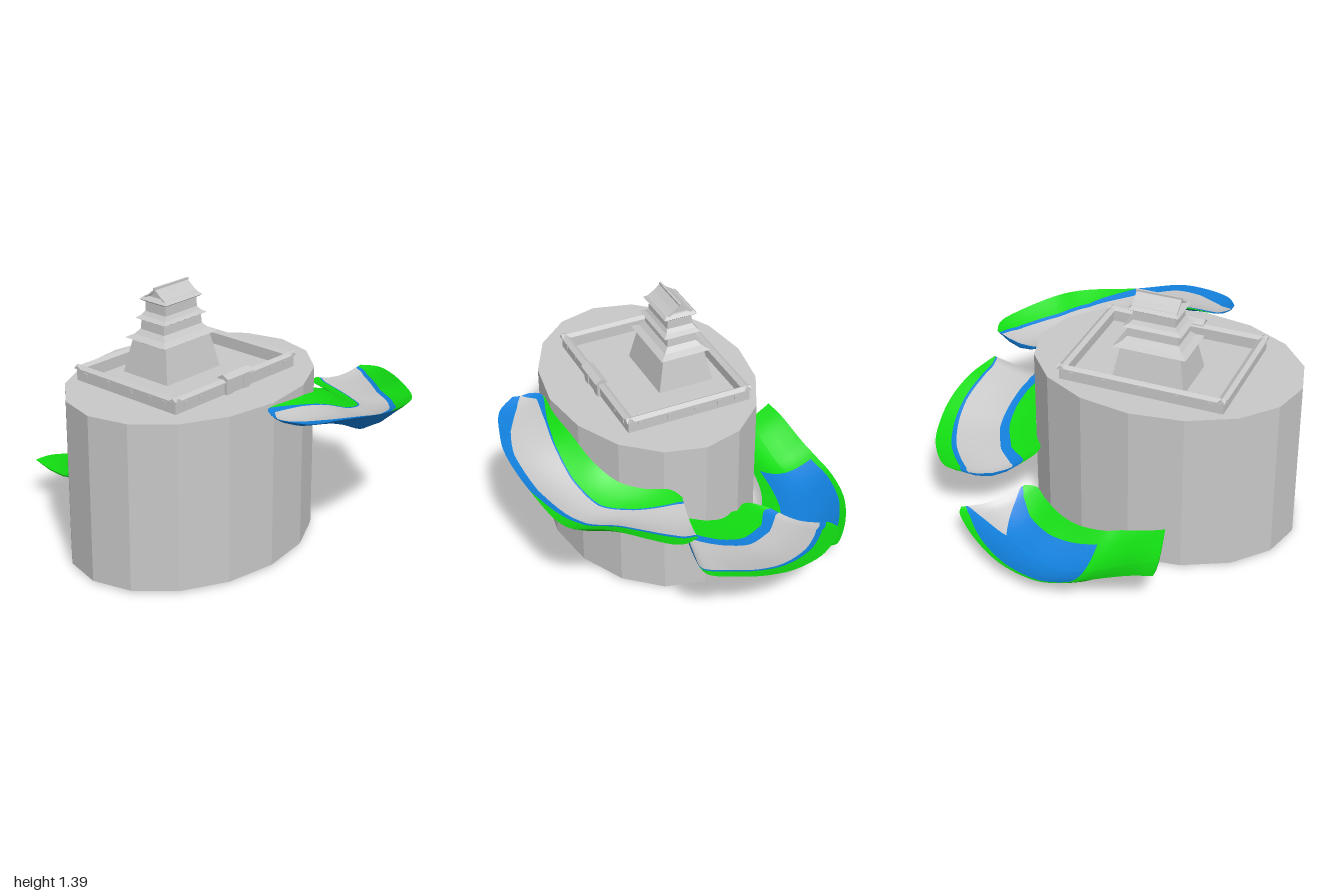
import * as THREE from 'three';

const mat = (name, color, extra = {}) => {
  const m = new THREE.MeshStandardMaterial({ color, ...extra });
  m.name = name;
  return m;
};
const stone = mat('stone grey', 0xc8c8c8);
const green = mat('grass green', 0x12dc12);
const blue = mat('water blue', 0x1280dc);

const add = (parent, name, geo, x = 0, y = 0, z = 0, ry = 0) => {
  const m = new THREE.Mesh(geo, stone);
  m.name = name;
  m.position.set(x, y, z);
  m.rotation.y = ry;
  parent.add(m);
  return m;
};

// Box that tapers from (w0, d0) at its foot to (w1, d1) at its top, foot at y = 0
function frustum(w0, d0, w1, d1, h) {
  const g = new THREE.BoxGeometry(1, h, 1).translate(0, h / 2, 0);
  const p = g.attributes.position;
  for (let i = 0; i < p.count; i++) {
    const top = p.getY(i) > h / 2;
    p.setX(i, p.getX(i) * (top ? w1 : w0));
    p.setZ(i, p.getZ(i) * (top ? d1 : d0));
  }
  g.computeVertexNormals();
  return g;
}

// Profile given as [z, y] points, extruded along x and centred
function alongX(points, length) {
  const s = new THREE.Shape(points.map(([a, b]) => new THREE.Vector2(a, b)));
  const g = new THREE.ExtrudeGeometry(s, { depth: length, bevelEnabled: false });
  return g.translate(0, 0, -length / 2).rotateY(Math.PI / 2);
}

// Hipped skirt roof with a thin eave and a concave slope
function skirtRoof(parent, name, y, w, d, w1, d1, h) {
  const g = new THREE.Group();
  g.name = name;
  g.position.y = y;
  const mw = w1 + (w - w1) * 0.4, md = d1 + (d - d1) * 0.4;
  add(g, 'eave', frustum(w - 0.03, d - 0.03, w, d, 0.008), 0, -0.008);
  add(g, 'lowerSlope', frustum(w, d, mw, md, h * 0.42));
  add(g, 'upperSlope', frustum(mw, md, w1, d1, h * 0.58), 0, h * 0.42);
  parent.add(g);
}

function buildTower() {
  const t = new THREE.Group();
  t.name = 'tower';
  add(t, 'stoneBase', frustum(0.4, 0.315, 0.33, 0.235, 0.19), 0, 0.92);
  skirtRoof(t, 'firstRoof', 1.115, 0.4, 0.285, 0.285, 0.17, 0.045);
  add(t, 'secondStorey', frustum(0.285, 0.17, 0.275, 0.16, 0.07), 0, 1.15);
  skirtRoof(t, 'secondRoof', 1.22, 0.32, 0.21, 0.235, 0.145, 0.035);
  add(t, 'thirdStorey', frustum(0.235, 0.145, 0.23, 0.14, 0.075), 0, 1.25);
  add(t, 'topEave', frustum(0.25, 0.16, 0.275, 0.19, 0.01), 0, 1.31);
  add(t, 'topSkirt', frustum(0.275, 0.19, 0.235, 0.155, 0.016), 0, 1.32);
  // Gable roof: two slabs over a recessed gable wall
  add(t, 'gableWall', alongX([[-0.07, 1.325], [0.07, 1.325], [0, 1.38]], 0.21));
  add(t, 'gableRoof', alongX([[-0.088, 1.325], [-0.074, 1.322], [0, 1.373],
    [0.074, 1.322], [0.088, 1.325], [0.04, 1.355], [0, 1.388], [-0.04, 1.355]], 0.245));
  add(t, 'ridge', new THREE.BoxGeometry(0.252, 0.012, 0.012), 0, 1.388);
  return t;
}

// One wall run with a small pitched cap and square windows on its outer face (+z)
function wallRun(name, length, windows) {
  const g = new THREE.Group();
  g.name = name;
  add(g, 'wallBody', new THREE.BoxGeometry(length, 0.07, 0.026), 0, 0.952, 0);
  add(g, 'wallCap', alongX([[-0.023, 0.985], [0.023, 0.985], [0.023, 0.99], [0, 1.005], [-0.023, 0.99]], length + 0.018));
  for (const x of windows) {
    add(g, 'windowFrame', new THREE.BoxGeometry(0.024, 0.024, 0.006), x, 0.962, 0.014);
  }
  return g;
}

function buildWalls() {
  const w = new THREE.Group();
  w.name = 'courtyardWalls';
  const front = [-0.38, -0.27, 0.27, 0.38], side = [-0.28, -0.12, 0.04, 0.17, 0.27];
  const runs = [['frontWall', 0.9, front, 0, 0.337, 0],
    ['backWall', 0.9, [-0.38, -0.2, 0, 0.2, 0.38], 0, -0.337, Math.PI],
    ['leftWall', 0.7, side, 0.437, 0, Math.PI / 2],
    ['rightWall', 0.7, side, -0.437, 0, -Math.PI / 2]];
  for (const [name, len, wins, x, z, ry] of runs) {
    const r = wallRun(name, len, wins);
    r.position.set(x, 0, z);
    r.rotation.y = ry;
    w.add(r);
  }
  // Gatehouse
  const gate = new THREE.Group();
  gate.name = 'gate';
  gate.position.set(-0.005, 0, 0.345);
  for (const s of [-1, 1]) add(gate, 'gatePost', new THREE.BoxGeometry(0.045, 0.085, 0.042), s * 0.065, 0.96);
  add(gate, 'gateDoor', new THREE.BoxGeometry(0.09, 0.075, 0.03), 0, 0.955);
  add(gate, 'gateLintel', new THREE.BoxGeometry(0.175, 0.014, 0.042), 0, 0.998);
  add(gate, 'gateRoof', alongX([[-0.035, 1.005], [0.035, 1.005], [0.035, 1.01], [0, 1.03], [-0.035, 1.01]], 0.195));
  w.add(gate);
  return w;
}

// Curved dished strip. Station: inner x z, outer x z, inner/outer rim y, floor y, hull y,
// then four fractions across it: grass | water | path | water | grass.
function buildIsland(name, stations, tailFrom = Infinity) {
  const STEPS = 6, SUB = 4, rows = [];
  const last = stations.length - 1;
  for (let i = 0; i <= last * STEPS; i++) {
    const k = Math.min(Math.floor(i / STEPS), last - 1), f = i / STEPS - k;
    const P = [k - 1, k, k + 1, k + 2].map((j) => stations[THREE.MathUtils.clamp(j, 0, last)]);
    const s = P[1].map((b, j) => {
      const a = P[0][j], c = P[2][j], d = P[3][j];
      if (j > 7) return b + (c - b) * f;
      return b + 0.5 * f * (c - a + f * (2 * a - 5 * b + 4 * c - d + f * (3 * (b - c) + d - a)));
    });
    rows.push({ s, u: i / STEPS });
  }
  const pos = [], faces = [[], [], []];
  const sheet = (list, cuts, depth, bandMats, up) => {
    const base = pos.length / 3, cols = (cuts(list[0].s).length - 1) * SUB + 1;
    for (const row of list) {
      const s = row.s, c = cuts(s), y = row.cap ? s[6] : s[depth];
      for (let j = 0; j < cols; j++) {
        const b = Math.min(Math.floor(j / SUB), c.length - 2);
        const t = c[b] + (c[b + 1] - c[b]) * (j / SUB - b);
        const sag = ((s[4] + s[5]) / 2 - y) * Math.sin(Math.PI * t);
        pos.push(s[0] + (s[2] - s[0]) * t, s[4] + (s[5] - s[4]) * t - sag, s[1] + (s[3] - s[1]) * t);
      }
    }
    for (let r = 0; r < list.length - 1; r++) {
      for (let j = 0; j < cols - 1; j++) {
        const m = list[r].u >= tailFrom ? 0 : bandMats[Math.floor(j / SUB)];
        const a = base + r * cols + j, b = a + 1, c = a + cols, d = c + 1;
        faces[m].push(...(up ? [a, b, c, b, d, c] : [a, c, b, b, c, d]));
      }
    }
  };
  sheet(rows, (s) => [0, s[8], s[9], s[10], s[11], 1], 6, [0, 1, 2, 1, 0], true);
  // The hull closes up to the floor at both ends
  const hull = [{ ...rows[0], cap: true }, ...rows, { ...rows[rows.length - 1], cap: true }];
  sheet(hull, (s) => [0, s[8] * 0.5, (1 + s[11]) / 2, 1], 7, [0, 1, 0], false);

  const g = new THREE.BufferGeometry();
  g.setAttribute('position', new THREE.Float32BufferAttribute(pos, 3));
  g.setIndex(faces.flat());
  let start = 0;
  faces.forEach((f, i) => { g.addGroup(start, f.length, i); start += f.length; });
  g.computeVertexNormals();
  const m = new THREE.Mesh(g, [green, blue, stone]);
  m.name = name;
  return m;
}

const upperIsland = [
  [-0.34, 0.71, -0.345, 0.80, 0.912, 0.908, 0.905, 0.9, 0, 0.45, 0.55, 1],
  [-0.29, 0.65, -0.26, 0.90, 0.917, 0.895, 0.885, 0.865, 0, 0.15, 0.6, 1],
  [-0.11, 0.645, -0.10, 0.95, 0.91, 0.885, 0.865, 0.83, 0.14, 0.18, 0.8, 1],
  [0.06, 0.615, 0.075, 0.97, 0.89, 0.86, 0.83, 0.77, 0.25, 0.27, 0.87, 1],
  [0.245, 0.565, 0.325, 0.925, 0.83, 0.80, 0.75, 0.665, 0.32, 0.34, 0.87, 1],
  [0.37, 0.48, 0.61, 0.84, 0.765, 0.765, 0.70, 0.645, 0.34, 0.36, 0.72, 0.78],
  [0.445, 0.365, 0.74, 0.65, 0.735, 0.78, 0.69, 0.645, 0.3, 0.32, 0.7, 0.75],
  [0.49, 0.24, 0.91, 0.38, 0.725, 0.735, 0.685, 0.65, 0.2, 0.22, 0.75, 0.8],
  [0.565, 0.2, 0.89, 0.25, 0.72, 0.72, 0.69, 0.66, 0.08, 0.12, 0.9, 0.95],
];
const middleIsland = [
  [0.565, 0.2, 0.915, 0.25, 0.555, 0.545, 0.54, 0.52, 0.05, 0.15, 0.95, 0.98],
  [0.505, 0.18, 0.955, 0.21, 0.525, 0.515, 0.50, 0.46, 0.2, 0.32, 0.88, 0.91],
  [0.5, 0.12, 0.99, 0.08, 0.50, 0.49, 0.46, 0.41, 0.25, 0.35, 0.85, 0.88],
  [0.5, 0.03, 1.0, -0.09, 0.46, 0.45, 0.41, 0.355, 0.27, 0.36, 0.84, 0.87],
  [0.47, -0.08, 0.97, -0.27, 0.42, 0.41, 0.36, 0.32, 0.28, 0.38, 0.82, 0.86],
  [0.38, -0.2, 0.89, -0.465, 0.39, 0.385, 0.33, 0.29, 0.28, 0.38, 0.8, 0.85],
  [0.35, -0.28, 0.75, -0.62, 0.37, 0.38, 0.31, 0.28, 0.17, 0.3, 0.76, 0.82],
  [0.4, -0.385, 0.65, -0.615, 0.34, 0.36, 0.31, 0.29, 0.02, 0.15, 0.85, 0.95],
];
const lowerIsland = [
  [0.385, -0.385, 0.625, -0.66, 0.2, 0.16, 0.145, 0.11, 0.02, 0.05, 0.9, 0.93],
  [0.315, -0.37, 0.595, -0.72, 0.2, 0.15, 0.11, 0.075, 0.18, 0.3, 0.76, 0.88],
  [0.235, -0.415, 0.43, -0.845, 0.17, 0.13, 0.06, 0.02, 0.23, 0.58, 0.58, 0.92],
  [0.11, -0.48, 0.22, -0.945, 0.15, 0.11, 0.04, 0.006, 0.22, 0.55, 0.55, 0.94],
  [-0.02, -0.52, 0, -0.98, 0.15, 0.105, 0.035, 0.006, 0.18, 0.55, 0.55, 0.95],
  [-0.165, -0.53, -0.165, -0.955, 0.17, 0.13, 0.06, 0.03, 0.15, 0.55, 0.55, 0.93],
  [-0.26, -0.51, -0.29, -0.92, 0.19, 0.17, 0.10, 0.075, 0.15, 0.55, 0.55, 0.93],
  [-0.4, -0.49, -0.475, -0.88, 0.22, 0.23, 0.17, 0.155, 0.15, 0.55, 0.55, 0.93],
  [-0.5, -0.475, -0.6, -0.85, 0.25, 0.25, 0.2, 0.19, 0.15, 0.55, 0.55, 0.93],
];

export function createModel() {
  const model = new THREE.Group();
  model.name = 'castleRock';

  // Oval plinth and castle share one slight turn
  const castle = new THREE.Group();
  castle.name = 'castle';
  castle.position.set(-0.262, 0, 0.067);
  castle.rotation.y = 0.055;
  const rock = new THREE.CylinderGeometry(1, 1, 0.91, 16).rotateY(Math.PI / 8).scale(0.74, 1, 0.563).toNonIndexed();
  rock.computeVertexNormals();
  add(castle, 'plinth', rock, 0, 0.467, 0);
  const walls = buildWalls();
  walls.position.set(0.007, 0, -0.04);
  const tower = buildTower();
  tower.position.set(0.003, 0, -0.142);
  castle.add(walls, tower);

  model.add(castle,
    buildIsland('upperIsland', upperIsland),
    buildIsland('middleIsland', middleIsland),
    buildIsland('lowerIsland', lowerIsland, 5));
  return model;
}
